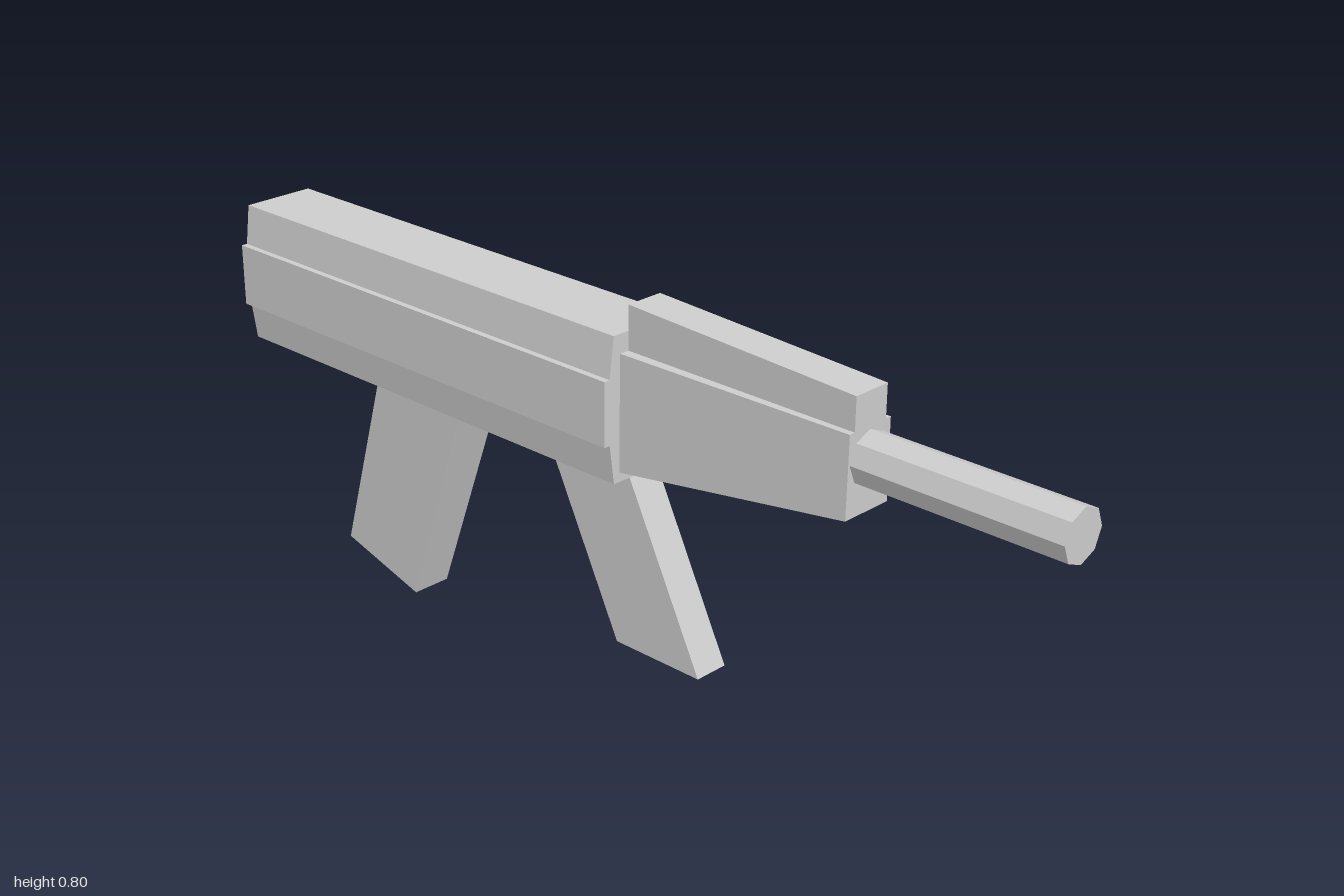
import * as THREE from 'three';

const steel = new THREE.MeshStandardMaterial({ color: 0xcccccc, flatShading: true, side: THREE.DoubleSide });
steel.name = 'light grey';

function addPart(group, name, geometry) {
  geometry.computeVertexNormals();
  const mesh = new THREE.Mesh(geometry, steel);
  mesh.name = name;
  group.add(mesh);
}

// Extrudes a half outline (bottom to top, +x side), mirrored, from z0 to z1
function mirroredExtrude(half, z0, z1) {
  const mirrored = half.map(([x, y]) => [-x, y]).reverse();
  const shape = new THREE.Shape([...half, ...mirrored].map(([x, y]) => new THREE.Vector2(x, y)));
  const geometry = new THREE.ExtrudeGeometry(shape, { depth: z1 - z0, bevelEnabled: false });
  return geometry.translate(0, 0, z0);
}

// Slanted block: corners given as [z, y] for the front and rear of its top and bottom
function slantedBlock(topFront, topRear, bottomFront, bottomRear, topHalf, bottomHalf) {
  const geometry = new THREE.BoxGeometry(2, 2, 2);
  const p = geometry.attributes.position;
  for (let i = 0; i < p.count; i++) {
    const top = p.getY(i) > 0, front = p.getZ(i) > 0;
    const [z, y] = top ? (front ? topFront : topRear) : (front ? bottomFront : bottomRear);
    p.setXYZ(i, p.getX(i) * (top ? topHalf : bottomHalf), y, z);
  }
  return geometry;
}

export function createModel() {
  const group = new THREE.Group();

  // Receiver with a raised band along each side
  addPart(group, 'receiver', mirroredExtrude([
    [0.078, 0.463], [0.089, 0.543], [0.102, 0.543],
    [0.102, 0.672], [0.089, 0.672], [0.078, 0.753],
  ], -1, 0.055));

  // Handguard with a top rib, tapering toward the front
  const guard = mirroredExtrude([
    [0.064, 0.482], [0.062, 0.715], [0.041, 0.715], [0.041, 0.803],
  ], 0.055, 0.575);
  const p = guard.attributes.position;
  for (let i = 0; i < p.count; i++) {
    if (p.getZ(i) < 0.3) continue;
    const x = p.getX(i), y = p.getY(i);
    if (Math.abs(x) > 0.05) p.setX(i, x - Math.sign(x) * 0.008);
    if (y < 0.5) p.setY(i, 0.557);
    if (y > 0.79) p.setY(i, 0.78);
  }
  addPart(group, 'handguard', guard);

  // Eight-sided barrel
  const barrel = new THREE.CylinderGeometry(0.051, 0.051, 0.425, 8);
  barrel.rotateX(Math.PI / 2).translate(0, 0.658, 0.7875);
  addPart(group, 'barrel', barrel);

  // Forward-leaning magazine
  addPart(group, 'magazine', slantedBlock(
    [0.055, 0.463], [-0.153, 0.463], [0.232, 0.107], [0.022, 0.107], 0.037, 0.037));

  // Rear grip, hollow with open ends
  const grip = slantedBlock(
    [-0.393, 0.463], [-0.64, 0.463], [-0.56, 0.0], [-0.768, 0.06], 0.05, 0.043);
  const index = Array.from(grip.index.array);
  index.splice(12, 12);
  grip.setIndex(index);
  grip.clearGroups();
  addPart(group, 'grip', grip);

  return group;
}
